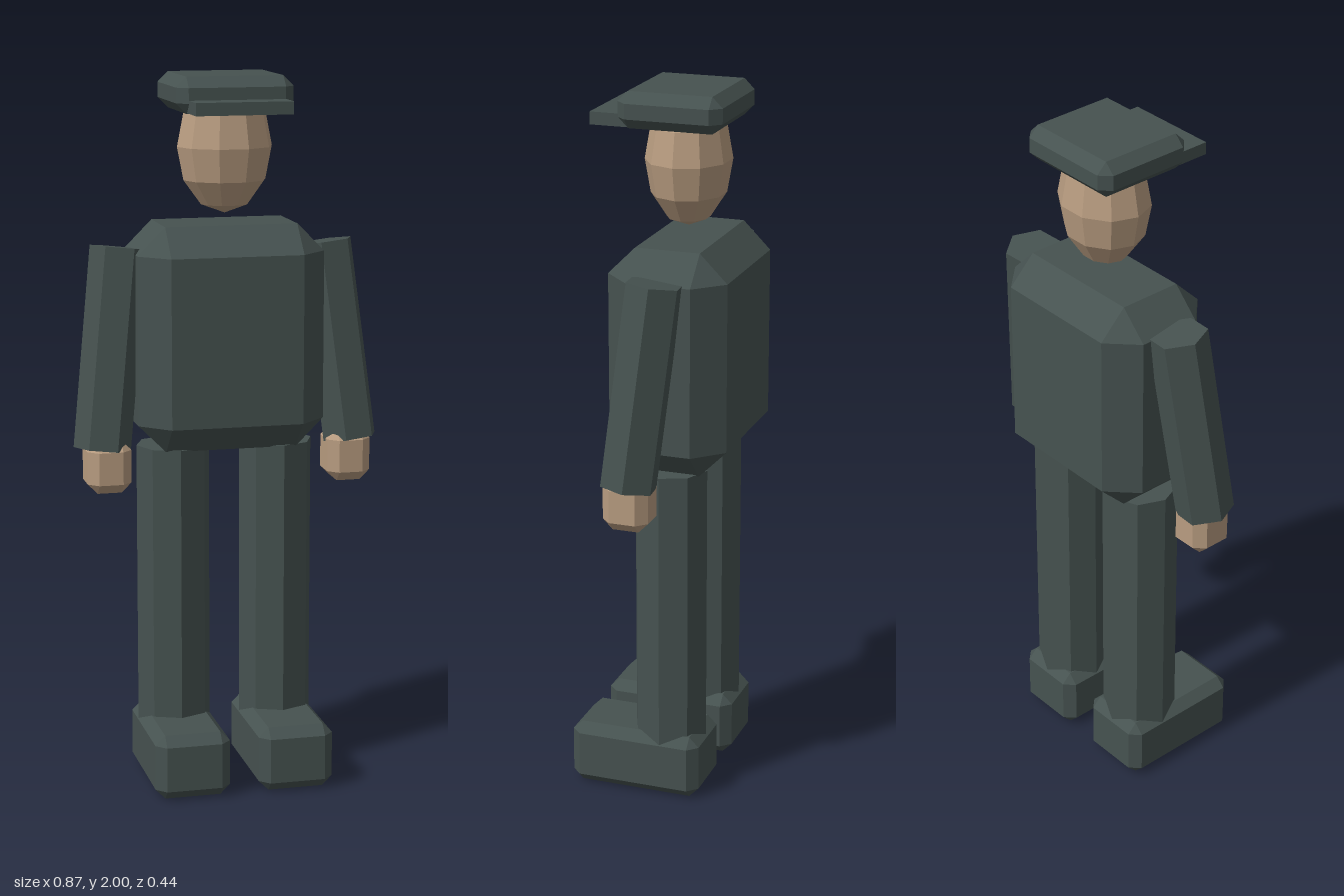
import * as THREE from 'three';
import { ConvexGeometry } from 'three/addons/geometries/ConvexGeometry.js';

const cloth = new THREE.MeshStandardMaterial({ color: 0x465250, flatShading: true });
cloth.name = 'dark cloth';
const skin = new THREE.MeshStandardMaterial({ color: 0xb89c80, flatShading: true });
skin.name = 'skin';

// Box with every edge cut at 45 degrees, given by its extents
function chamferBox(x0, x1, y0, y1, z0, z1, c) {
  const h = [(x1 - x0) / 2, (y1 - y0) / 2, (z1 - z0) / 2];
  const points = [];
  for (const sx of [-1, 1]) for (const sy of [-1, 1]) for (const sz of [-1, 1]) {
    for (let axis = 0; axis < 3; axis++) {
      const d = h.map((v, i) => (i === axis ? v : v - c));
      points.push(new THREE.Vector3(sx * d[0], sy * d[1], sz * d[2]));
    }
  }
  return new ConvexGeometry(points).translate((x0 + x1) / 2, (y0 + y1) / 2, (z0 + z1) / 2);
}

// Straight prism between two points
function limb(from, to, radius, sides) {
  const axis = new THREE.Vector3().subVectors(to, from);
  const geometry = new THREE.CylinderGeometry(radius, radius, axis.length(), sides);
  geometry.applyQuaternion(new THREE.Quaternion().setFromUnitVectors(
    new THREE.Vector3(0, 1, 0), axis.clone().normalize()));
  const mid = from.clone().add(to).multiplyScalar(0.5);
  return geometry.translate(mid.x, mid.y, mid.z);
}

export function createModel() {
  const model = new THREE.Group();
  model.name = 'capped figure';
  const add = (name, geometry, material) => {
    const mesh = new THREE.Mesh(geometry, material);
    mesh.name = name;
    model.add(mesh);
  };

  // Torso
  add('torso', chamferBox(-0.262, 0.268, 0.96, 1.59, -0.222, 0.117, 0.078), cloth);

  // Head
  const head = new THREE.SphereGeometry(1, 10, 6);
  head.scale(0.135, 0.185, 0.118).translate(0.004, 1.8, -0.048);
  add('head', head, skin);

  // Cap with a flat peak
  add('cap', chamferBox(-0.161, 0.167, 1.9, 2, -0.188, 0.106, 0.029), cloth);
  const peak = new THREE.BoxGeometry(0.27, 0.035, 0.135);
  add('capPeak', peak.translate(0.004, 1.92, 0.118), cloth);

  // Limbs, mirrored on both sides
  for (const [side, s] of [['left', 1], ['right', -1]]) {
    const x = 0.149 * s + 0.003;
    const leg = new THREE.CylinderGeometry(0.105, 0.105, 0.85, 8);
    add(side + 'Leg', leg.translate(x, 0.54, -0.05), cloth);
    add(side + 'Shoe', chamferBox(x - 0.107, x + 0.107, 0, 0.185, -0.16, 0.22, 0.028), cloth);

    const shoulder = new THREE.Vector3(0.296 * s, 1.527, -0.055);
    const wrist = new THREE.Vector3(0.358 * s, 0.97, -0.001);
    add(side + 'Arm', limb(shoulder, wrist, 0.08, 6), cloth);

    const hx = 0.345 * s;
    add(side + 'Hand', chamferBox(hx - 0.062, hx + 0.062, 0.852, 1.0, -0.065, 0.065, 0.028), skin);
  }
  return model;
}
